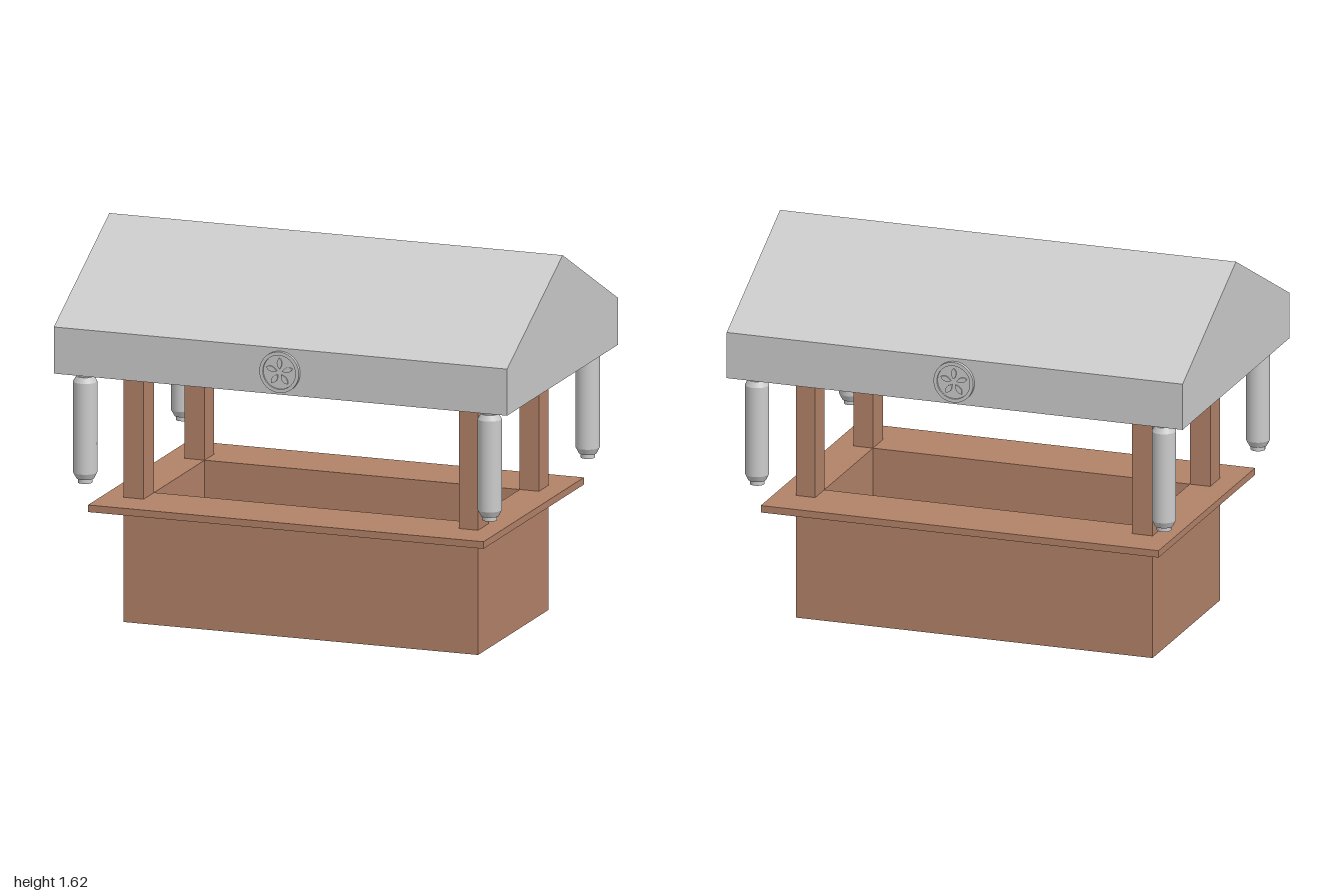
import * as THREE from 'three';

export function createModel() {
  const model = new THREE.Group();
  const wood = new THREE.MeshStandardMaterial({ color: 0xb28268 });
  const grey = new THREE.MeshStandardMaterial({ color: 0xcccccc });

  const add = (name, geometry, material, parent = model) => {
    const mesh = new THREE.Mesh(geometry, material);
    mesh.name = name;
    parent.add(mesh);
    return mesh;
  };
  const polygon = (points) => new THREE.Shape(points.map(([x, y]) => new THREE.Vector2(x, y)));
  const extrude = (shape, depth) =>
    new THREE.ExtrudeGeometry(shape, { depth, bevelEnabled: false, curveSegments: 32 });
  const rect = (x0, x1, z0, z1) => [[x0, -z1], [x1, -z1], [x1, -z0], [x0, -z0]];

  // Box from its limits
  const box = (name, x0, x1, y0, y1, z0, z1) =>
    add(name, new THREE.BoxGeometry(x1 - x0, y1 - y0, z1 - z0), wood)
      .position.set((x0 + x1) / 2, (y0 + y1) / 2, (z0 + z1) / 2);

  // Horizontal frame with the shared rectangular opening
  const opening = rect(-0.69, 0.7, -0.29, 0.295);
  const frame = (name, outer, y0, y1) => {
    const shape = polygon(outer);
    shape.holes.push(polygon(opening));
    const geometry = extrude(shape, y1 - y0).rotateX(-Math.PI / 2);
    add(name, geometry, wood).position.y = y0;
  };

  // Stall base, floor and overhanging counter
  box('floor', -0.78, 0.785, 0, 0.04, -0.4, 0.415);
  frame('baseWalls', rect(-0.78, 0.785, -0.4, 0.415), 0.04, 0.5);
  frame('counter', rect(-0.87, 0.875, -0.575, 0.588), 0.5, 0.53);

  // Four corner posts running up into the roof
  for (const [x0, x1] of [[-0.78, -0.69], [0.7, 0.785]]) {
    for (const [z0, z1] of [[-0.4, -0.29], [0.295, 0.415]]) {
      box('post', x0, x1, 0.53, 1.3, z0, z1);
    }
  }

  // Thick chevron roof, open underneath
  const W = 0.643, EAVE = 1.09, RISE = 0.333, THICK = 0.198;
  const roofShape = polygon([
    [-W, EAVE], [0, EAVE + RISE], [W, EAVE],
    [W, EAVE + THICK], [0, EAVE + RISE + THICK], [-W, EAVE + THICK],
  ]);
  add('roof', extrude(roofShape, 2).rotateY(Math.PI / 2).translate(-1, 0, 0), grey);

  // Thin triangular panels that close the gable ends
  const gableShape = polygon([[-W, EAVE], [W, EAVE], [0, EAVE + RISE]]);
  for (const x of [-1, 0.99]) {
    add('gablePanel', extrude(gableShape, 0.01).rotateY(Math.PI / 2), grey).position.x = x;
  }

  // Hanging lanterns: separate lathe bands keep the edges crisp
  const bands = [
    [[0, 0.62], [0.03, 0.62]],
    [[0.03, 0.62], [0.03, 0.638]],
    [[0.03, 0.638], [0.037, 0.638]],
    [[0.037, 0.638], [0.05, 0.664]],
    [[0.05, 0.664], [0.05, 1.05]],
    [[0.05, 1.05], [0.037, 1.073]],
    [[0.037, 1.073], [0.03, 1.073]],
    [[0.03, 1.073], [0.03, 1.092]],
  ].map((points) => new THREE.LatheGeometry(points.map(([r, y]) => new THREE.Vector2(r, y)), 32));
  for (const x of [-0.89, 0.895]) {
    for (const z of [-0.565, 0.568]) {
      const lantern = new THREE.Group();
      lantern.name = 'lantern';
      lantern.position.set(x, 0, z);
      bands.forEach((band) => add('lanternBand', band, grey, lantern));
      model.add(lantern);
    }
  }

  // Round flower medallions on the front and back eaves
  const rimShape = new THREE.Shape().absarc(0, 0, 0.087, 0, Math.PI * 2);
  rimShape.holes.push(new THREE.Path().absarc(0, 0, 0.072, 0, Math.PI * 2, true));
  const rimGeometry = extrude(rimShape, 0.016);
  const discGeometry = new THREE.CylinderGeometry(0.073, 0.073, 0.008, 32).rotateX(Math.PI / 2);
  const petalShape = new THREE.Shape();
  petalShape.moveTo(0, 0.013);
  petalShape.quadraticCurveTo(0.022, 0.04, 0, 0.06);
  petalShape.quadraticCurveTo(-0.022, 0.04, 0, 0.013);
  const petalGeometry = extrude(petalShape, 0.014);
  for (const side of [1, -1]) {
    const medallion = new THREE.Group();
    medallion.name = 'medallion';
    medallion.position.set(0, 1.188, side * W);
    if (side < 0) medallion.rotation.y = Math.PI;
    add('medallionRim', rimGeometry, grey, medallion);
    add('medallionDisc', discGeometry, grey, medallion).position.z = 0.004;
    for (let i = 0; i < 5; i++) {
      add('petal', petalGeometry, grey, medallion).rotation.z = (i * Math.PI * 2) / 5;
    }
    model.add(medallion);
  }

  return model;
}
